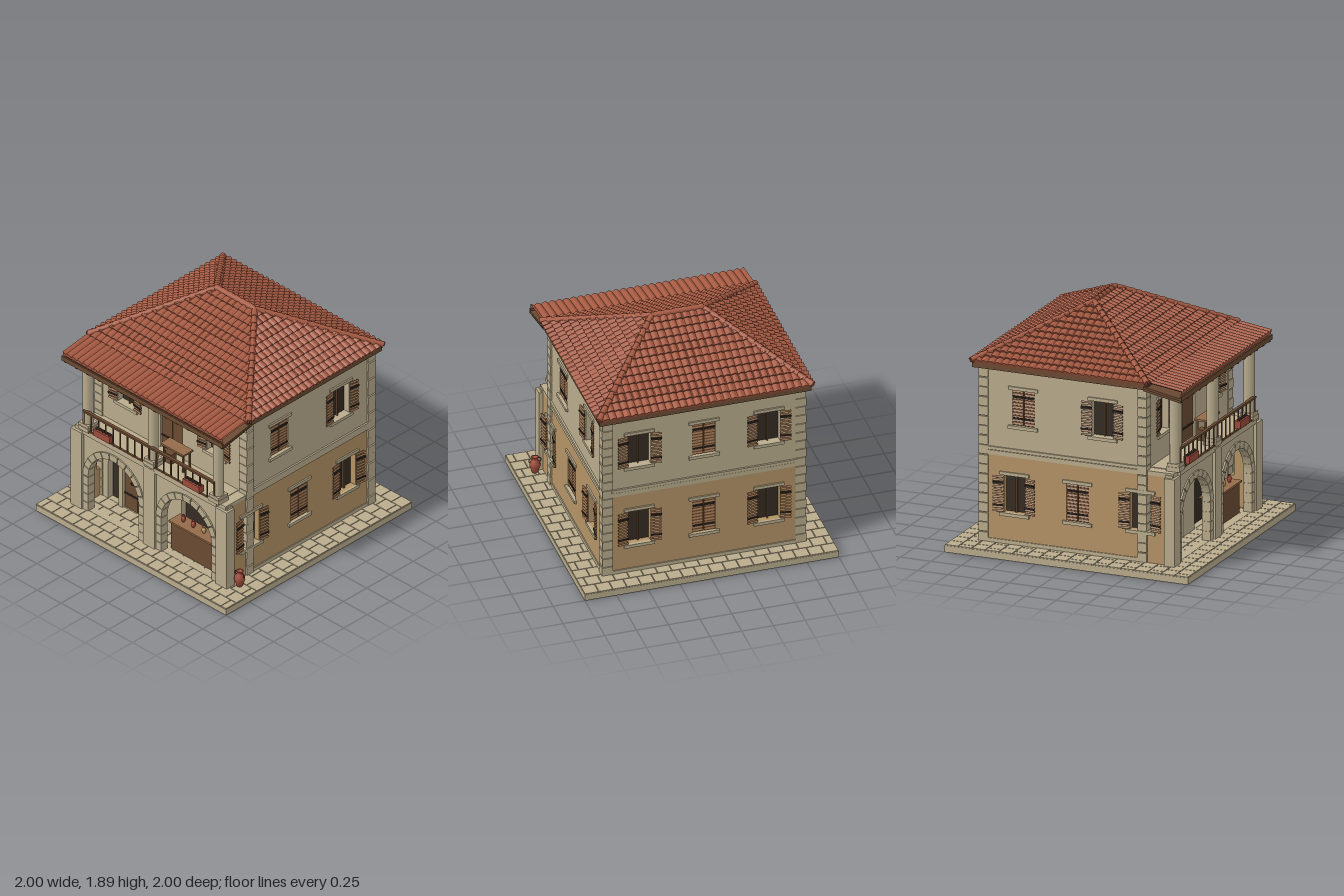
import * as THREE from 'three';
import { mergeGeometries } from 'three/addons/utils/BufferGeometryUtils.js';

const mat = (name, color, side = THREE.FrontSide) => {
  const m = new THREE.MeshStandardMaterial({ color, side });
  m.name = name;
  return m;
};
const M = {
  stone: mat('cream stone', 0xb9ac8d),
  ochre: mat('ochre plaster', 0xb39366),
  tile: mat('terracotta tile', 0xa65a42, THREE.DoubleSide),
  wood: mat('brown wood', 0x6a4a32),
  slat: mat('light wood', 0x936b4a),
  dark: mat('dark interior', 0x352c23),
  iron: mat('black iron', 0x2a231e),
  clay: mat('red clay', 0x9c4b3a),
  sand: mat('sand clay', 0xb8965f),
};

function add(parent, name, geo, material, x = 0, y = 0, z = 0) {
  const m = new THREE.Mesh(geo, material);
  m.name = name;
  m.position.set(x, y, z);
  parent.add(m);
  return m;
}
// box given by its limits
function bx(x0, x1, y0, y1, z0, z1) {
  return new THREE.BoxGeometry(x1 - x0, y1 - y0, z1 - z0).translate((x0 + x1) / 2, (y0 + y1) / 2, (z0 + z1) / 2);
}
const box = (p, name, m, ...b) => add(p, name, bx(...b), m);
const boxes = (p, name, m, list) => add(p, name, mergeGeometries(list.map(b => bx(...b))), m);
function group(parent, name, x = 0, y = 0, z = 0, ry = 0) {
  const g = new THREE.Group();
  g.name = name;
  g.position.set(x, y, z);
  g.rotation.y = ry;
  parent.add(g);
  return g;
}

const rectPath = ([x0, x1, y0, y1]) => new THREE.Path([[x0, y0], [x0, y1], [x1, y1], [x1, y0]].map(p => new THREE.Vector2(...p)));
function archPath(cx, r) {
  const p = new THREE.Path();
  p.moveTo(cx - r, 0.062).lineTo(cx + r, 0.062).lineTo(cx + r, 0.37);
  p.absarc(cx, 0.37, r, 0, Math.PI, false);
  return p.lineTo(cx - r, 0.062);
}
// wall in the local xy plane, outer face at z = 0
function wall(p, name, m, [x0, x1, y0, y1], holes, depth = 0.05) {
  const s = new THREE.Shape([[x0, y0], [x1, y0], [x1, y1], [x0, y1]].map(q => new THREE.Vector2(...q)));
  s.holes.push(...holes);
  const g = new THREE.ExtrudeGeometry(s, { depth, bevelEnabled: false, curveSegments: 16 });
  return add(p, name, g.translate(0, 0, -depth), m);
}

// louvred shutter leaf reaching from the hinge towards dir
function shutter(p, dir, w, h, z) {
  const g = group(p, 'shutter'), slats = [], n = Math.round(h / 0.026);
  for (let i = 0; i < n; i++) {
    const s = new THREE.BoxGeometry(w, 0.015, 0.008).rotateX(-0.5);
    slats.push(s.translate(dir * w / 2, (i + 0.5) * h / n, z));
  }
  add(g, 'shutterSlats', mergeGeometries(slats), M.slat);
  const xs = [0, dir * w].sort((a, b) => a - b);
  boxes(g, 'shutterStraps', M.iron, [0.2, 0.8].map(t => [...xs, h * t - 0.007, h * t + 0.007, z - 0.004, z + 0.011]));
  return g;
}
function windowUnit(p, [x0, x1, y0, y1], open) {
  const g = group(p, 'window'), c = (x0 + x1) / 2, h = y1 - y0;
  boxes(g, 'lintelAndSill', M.stone, [[x0 - 0.03, x1 + 0.03, y1, y1 + 0.026, -0.01, 0.012], [x0 - 0.03, x1 + 0.03, y0 - 0.026, y0, -0.01, 0.018]]);
  box(g, 'mullion', M.wood, c - 0.006, c + 0.006, y0, y1, -0.048, -0.03);
  for (const s of [-1, 1]) {
    if (open) {
      const leaf = shutter(g, s, 0.083, h, 0.008);
      leaf.position.set(c + s * (x1 - c), y0, 0.002);
      leaf.rotation.y = -s * 0.15;
    } else {
      const leaf = shutter(g, -s, 0.085, h, 0);
      leaf.position.set(c + s * (x1 - c), y0, -0.012);
      boxes(leaf, 'shutterBoard', M.wood, [[Math.min(0, -s * 0.087), Math.max(0, -s * 0.087), 0, h, -0.012, 0.001]]);
    }
  }
}
// one storey of wall with its windows: [centre, open]
function storey(p, name, m, limits, wins, [y0, y1], extra = [], hw = 0.09) {
  const rs = wins.map(([c]) => [c - hw, c + hw, y0, y1]);
  wall(p, name, m, limits, [...rs.map(rectPath), ...extra]);
  rs.forEach((r, i) => windowUnit(p, r, wins[i][1]));
}

// ribbed tile slope: eave at z = run, top at z = 0, rows stepping upward
function tileSlope(halfEave, halfTop, run, rise, rows) {
  const pos = [], pitch = 0.056, per = 6;
  const L = Math.hypot(run, rise), ny = run / L, nz = rise / L;
  const point = (u, t, lift) => {
    const w = THREE.MathUtils.lerp(halfEave, halfTop, t), x = THREE.MathUtils.clamp(u, -w, w);
    const k = lift === null ? -0.004 : lift + 0.017 * Math.abs(Math.cos(Math.PI * u / pitch));
    return [x, t * rise + ny * k, (1 - t) * run + nz * k];
  };
  const quad = (a, b, c, d) => pos.push(...a, ...b, ...c, ...a, ...c, ...d);
  for (let r = 0; r < rows; r++) {
    const t0 = r / rows, t1 = (r + 1) / rows, w = THREE.MathUtils.lerp(halfEave, halfTop, t0);
    const n = Math.ceil(2 * w / pitch * per);
    for (let i = 0; i < n; i++) {
      const u0 = -w + 2 * w * i / n, u1 = -w + 2 * w * (i + 1) / n;
      quad(point(u0, t0, 0.014), point(u1, t0, 0.014), point(u1, t1, 0), point(u0, t1, 0));
      quad(point(u0, t0, null), point(u1, t0, null), point(u1, t0, 0.014), point(u0, t0, 0.014));
    }
  }
  const g = new THREE.BufferGeometry();
  g.setAttribute('position', new THREE.Float32BufferAttribute(pos, 3));
  g.computeVertexNormals();
  return g;
}
// row of overlapping half-round caps between two points
function caps(p, name, a, b) {
  const A = new THREE.Vector3(...a), d = new THREE.Vector3(...b).sub(A), n = Math.max(4, Math.round(d.length() / 0.07)), list = [];
  const q = new THREE.Quaternion().setFromUnitVectors(new THREE.Vector3(0, 1, 0), d.clone().normalize());
  for (let i = 0; i < n; i++) {
    const c = new THREE.CylinderGeometry(0.019, 0.026, d.length() / n + 0.01, 10).applyQuaternion(q);
    const o = A.clone().addScaledVector(d, (i + 0.5) / n);
    list.push(c.translate(o.x, o.y, o.z));
  }
  add(p, name, mergeGeometries(list), M.tile);
}
// two-handled jar standing at y = 0
function jar(p, name, m, h, x, y, z) {
  const g = group(p, name, x, y, z);
  const prof = [[0, 0], [0.15, 0], [0.2, 0.1], [0.31, 0.45], [0.29, 0.65], [0.15, 0.82], [0.14, 0.9], [0.21, 1], [0.12, 0.97], [0, 0.9]];
  add(g, 'jarBody', new THREE.LatheGeometry(prof.map(([r, t]) => new THREE.Vector2(r * h, t * h)), 14), m);
  for (const s of [-1, 1]) add(g, 'jarHandle', new THREE.TorusGeometry(0.13 * h, 0.03 * h, 6, 12), m, s * 0.22 * h, 0.78 * h, 0);
}

export function createModel() {
  const root = new THREE.Group();
  root.name = 'tiledHouse';

  // paved base
  box(root, 'baseSlab', M.stone, -1, 1, 0, 0.052, -1, 1);
  const tiles = [], ts = 2 / 18;
  for (let r = 0; r < 18; r++) for (let c = 0; c <= 18; c++) {
    const x0 = Math.max(-1, -1 + (c - (r % 2) / 2) * ts), x1 = Math.min(1, -1 + (c + 1 - (r % 2) / 2) * ts);
    if (x1 - x0 > 0.02) tiles.push([x0 + 0.003, x1 - 0.003, 0.05, 0.06, -1 + r * ts + 0.003, -1 + (r + 1) * ts - 0.003]);
  }
  boxes(root, 'pavingTiles', M.stone, tiles);

  // house walls, each in its own outward-facing frame
  const house = group(root, 'house');
  box(house, 'interior', M.dark, -0.738, 0.738, 0.06, 1.43, -0.748, 0.513);
  const low = [0.305, 0.6], up = [1.0, 1.28];
  const front = group(house, 'frontWall', 0, 0, 0.565);
  const back = group(house, 'backWall', 0, 0, -0.8, Math.PI);
  const right = group(house, 'rightWall', -0.79, 0, 0, -Math.PI / 2);
  const left = group(house, 'leftWall', 0.79, 0, 0, Math.PI / 2);
  wall(front, 'frontLowerWall', M.stone, [-0.74, 0.74, 0.06, 0.78], [-0.385, 0.385].map(c => archPath(c, 0.28)));
  storey(front, 'frontUpperWall', M.stone, [-0.79, 0.79, 0.78, 1.44], [[-0.47, true], [0.465, true]], up, [rectPath([-0.115, 0.115, 0.79, 1.3])]);
  storey(back, 'backLowerWall', M.ochre, [-0.79, 0.79, 0.06, 0.76], [[-0.51, true], [0, false], [0.51, true]], low);
  storey(back, 'backUpperWall', M.stone, [-0.79, 0.79, 0.76, 1.44], [[-0.51, true], [0, false], [0.51, true]], up);
  for (const [side, s, wins] of [[left, -1, [[-0.21, false], [0.445, true]]], [right, 1, [[-0.445, false], [0.21, true]]]]) {
    const lim = s < 0 ? [-0.75, 0.795] : [-0.795, 0.75], lu = s < 0 ? [-0.56, 0.795] : [-0.795, 0.56];
    storey(side, 'sideLowerWall', M.ochre, [...lim, 0.06, 0.755], [[-0.52 * -s, true], [0, false], [0.515 * -s, true]], low);
    storey(side, 'sideUpperWall', M.stone, [...lu, 0.755, 1.44], wins, up);
  }
  // mouldings and plinth
  for (const [g, a, b] of [[back, -0.73, 0.73], [left, -0.5, 0.73], [right, -0.73, 0.5]]) {
    boxes(g, 'stringCourse', M.stone, [[a, b, 0.75, 0.785, -0.01, 0.008], [a, b, 0.79, 0.815, -0.01, 0.014], [a, b, 0.06, 0.09, -0.01, 0.008], [a, b, 1.415, 1.44, -0.01, 0.008]]);
  }
  // corner stones
  const quoins = [], nq = 18, qh = 1.37 / nq;
  for (const sx of [-1, 1]) for (const [z0, z1] of [[-0.81, -0.73], [0.5, 0.574]]) for (let i = 0; i < nq; i++) {
    const e = i % 2 ? 0.8 : 0.806, xs = [sx * 0.72, sx * e].sort((a, b) => a - b);
    quoins.push([...xs, 0.06 + i * qh + 0.003, 0.06 + (i + 1) * qh - 0.003, z0, z1]);
  }
  boxes(house, 'cornerStones', M.stone, quoins);

  // arcade
  const arcade = group(root, 'arcade', 0, 0, 0.785);
  wall(arcade, 'archWall', M.stone, [-0.8, 0.8, 0.06, 0.77], [-0.385, 0.385].map(c => archPath(c, 0.268)), 0.06);
  boxes(arcade, 'piers', M.stone, [[-0.82, -0.705, 0.06, 0.75, -0.06, 0.025], [0.705, 0.82, 0.06, 0.75, -0.06, 0.025], [-0.06, 0.06, 0.06, 0.77, -0.06, 0.025]]);
  for (const c of [-0.385, 0.385]) {
    for (let i = 0; i < 11; i++) {
      const a0 = Math.PI * i / 11 + 0.012, a1 = Math.PI * (i + 1) / 11 - 0.012;
      const s = new THREE.Shape().absarc(c, 0.37, 0.32, a0, a1, false).absarc(c, 0.37, 0.265, a1, a0, true);
      add(arcade, 'archStone', new THREE.ExtrudeGeometry(s, { depth: 0.07, bevelEnabled: false, curveSegments: 3 }), M.stone, 0, 0, -0.058);
    }
    const jambs = [];
    for (const s of [-1, 1]) for (let i = 0; i < 4; i++) {
      const xs = [c + s * 0.265, c + s * 0.318].sort((a, b) => a - b);
      jambs.push([...xs, 0.062 + i * 0.077, 0.134 + i * 0.077, -0.058, 0.012]);
    }
    boxes(arcade, 'jambStones', M.stone, jambs);
  }

  // ground floor door
  const door = group(root, 'door', -0.385, 0, 0.565);
  boxes(door, 'doorFrame', M.stone, [[-0.155, -0.115, 0.06, 0.62, -0.05, 0.015], [0.115, 0.155, 0.06, 0.62, -0.05, 0.015], [-0.155, 0.155, 0.585, 0.62, -0.05, 0.016]]);
  boxes(door, 'doorPlanks', M.wood, [0, 1, 2, 3, 4].map(i => [-0.115 + i * 0.046, -0.071 + i * 0.046, 0.062, 0.585, -0.03, -0.01]));
  boxes(door, 'doorStraps', M.iron, [0.19, 0.5].map(y => [-0.115, 0.115, y - 0.008, y + 0.008, -0.02, -0.005]));
  add(door, 'doorRing', new THREE.TorusGeometry(0.012, 0.003, 6, 12), M.iron, -0.035, 0.3, -0.006);

  // shop counter with jars
  box(root, 'counter', M.wood, 0.14, 0.615, 0.06, 0.3, 0.61, 0.71);
  box(root, 'counterTop', M.slat, 0.125, 0.63, 0.3, 0.315, 0.595, 0.725);
  [0.22, 0.325, 0.435, 0.54].forEach((x, i) => jar(root, 'counterJar', i === 2 ? M.sand : M.clay, 0.06, x, 0.315, 0.66));
  jar(root, 'streetJar', M.clay, 0.137, 0.858, 0.06, 0.708);

  // balcony floor, railing and columns
  const balcony = group(root, 'balcony');
  boxes(balcony, 'balconyFloor', M.stone, [[-0.79, 0.79, 0.752, 0.785, 0.56, 0.79], [-0.705, 0.705, 0.75, 0.79, 0.56, 0.808]]);
  const rail = [[-0.69, 0.69, 0.955, 0.972, 0.79, 0.815], [-0.69, 0.69, 0.792, 0.803, 0.795, 0.81]];
  for (let i = 0; i <= 18; i++) rail.push([-0.69 + i * 0.0762, -0.682 + i * 0.0762, 0.79, 0.96, 0.798, 0.807]);
  boxes(balcony, 'railing', M.wood, rail);
  for (const x of [-0.685, 0, 0.685]) {
    add(balcony, 'column', new THREE.CylinderGeometry(0.044, 0.044, 0.62, 8).rotateY(Math.PI / 8), M.stone, x, 1.095, 0.76);
    boxes(balcony, 'columnBase', M.stone, [[x - 0.055, x + 0.055, 0.785, 0.82, 0.705, 0.815], [x - 0.05, x + 0.05, 0.82, 0.845, 0.71, 0.81]]);
  }
  for (const x of [-0.485, 0.46]) {
    box(balcony, 'flowerBox', M.clay, x - 0.087, x + 0.087, 0.805, 0.862, 0.775, 0.825);
    for (let i = 0; i < 5; i++) add(balcony, 'plant', new THREE.IcosahedronGeometry(0.015, 0), M.dark, x - 0.066 + i * 0.033, 0.866, 0.8);
  }
  box(balcony, 'tableTop', M.slat, 0.02, 0.265, 0.945, 0.96, 0.6, 0.705);
  boxes(balcony, 'tableLegs', M.wood, [0.035, 0.238].flatMap(x => [0.612, 0.68].map(z => [x, x + 0.013, 0.79, 0.945, z, z + 0.013])));
  box(balcony, 'stool', M.wood, 0.03, 0.11, 0.79, 0.875, 0.62, 0.68);
  // balcony door
  boxes(balcony, 'balconyDoor', M.wood, [[-0.115, -0.061, 0.79, 1.3, 0.53, 0.55], [-0.059, -0.002, 0.79, 1.3, 0.53, 0.55], [0.002, 0.059, 0.79, 1.3, 0.53, 0.55], [0.061, 0.115, 0.79, 1.3, 0.53, 0.55]]);
  boxes(balcony, 'balconyDoorStraps', M.iron, [0.9, 1.16].map(y => [-0.115, 0.115, y - 0.007, y + 0.007, 0.54, 0.555]));

  // main roof
  const roof = group(root, 'roof');
  boxes(roof, 'eaves', M.wood, [[-0.835, 0.835, 1.432, 1.475, -0.845, 0.595]]);
  const ye = 1.477, rise = 0.375, zc = -0.125;
  for (const s of [0, 1]) {
    add(group(roof, 'longSlope', 0, ye, zc, s * Math.PI), 'slopeTiles', tileSlope(0.85, 0.2, 0.73, rise, 12), M.tile);
    const e = s ? -1 : 1;
    add(group(roof, 'hipSlope', e * 0.2, ye, zc, e * Math.PI / 2), 'slopeTiles', tileSlope(0.73, 0.005, 0.645, rise, 12), M.tile);
    for (const z of [-1, 1]) caps(roof, 'hipCaps', [e * 0.84, ye + 0.015, zc + z * 0.72], [e * 0.2, ye + rise + 0.01, zc]);
  }
  caps(roof, 'ridgeCaps', [-0.2, ye + rise + 0.012, zc], [0.2, ye + rise + 0.012, zc]);

  // balcony roof
  const porch = group(root, 'balconyRoof');
  add(porch, 'porchTiles', tileSlope(0.84, 0.84, 0.3, 0.055, 1), M.tile, 0, 1.432, 0.57);
  const deck = group(porch, 'porchTimber', 0, 1.418, 0.72);
  deck.rotation.x = 0.185;
  box(deck, 'porchDeck', M.wood, -0.845, 0.845, -0.004, 0.014, -0.16, 0.16);
  boxes(deck, 'rafters', M.wood, Array.from({ length: 15 }, (_, i) => [-0.835 + i * 0.1175, -0.81 + i * 0.1175, -0.024, 0, -0.16, 0.155]));
  box(porch, 'porchBeam', M.wood, -0.8, 0.8, 1.38, 1.41, 0.735, 0.785);
  box(porch, 'fascia', M.wood, -0.847, 0.847, 1.382, 1.422, 0.868, 0.88);
  return root;
}
